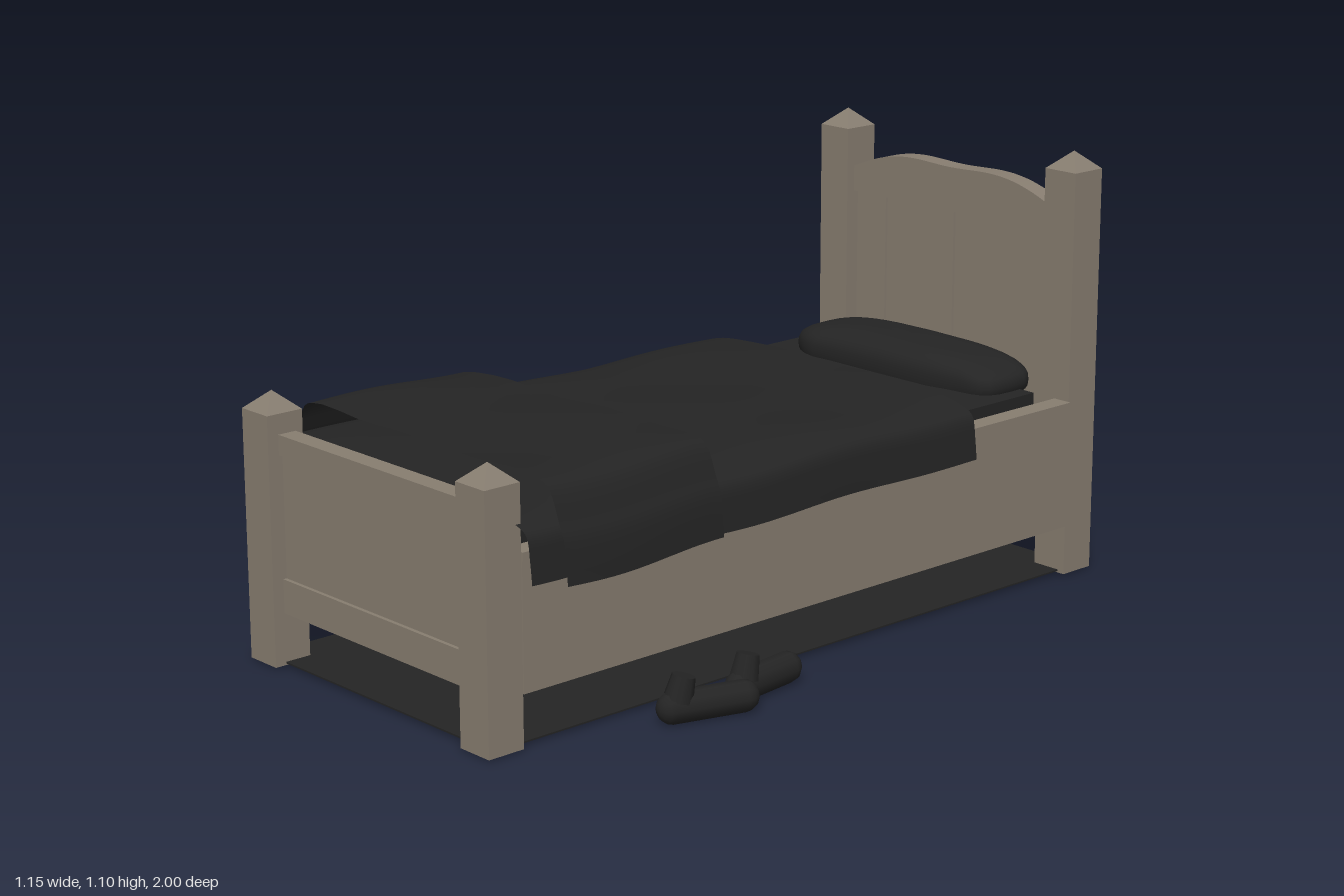
import * as THREE from 'three';

const CX = -0.06; // bed centre line

export function createModel() {
  const root = new THREE.Group();
  root.name = 'bed';
  const wood = new THREE.MeshStandardMaterial({ color: 0x877d70 });
  const cloth = new THREE.MeshStandardMaterial({ color: 0x242424, side: THREE.DoubleSide });

  const add = (name, geo, mat, parent = root) => {
    const mesh = new THREE.Mesh(geo, mat);
    mesh.name = name;
    parent.add(mesh);
    return mesh;
  };
  // box given by its limits on each axis
  const box = (name, mat, x0, x1, y0, y1, z0, z1) => {
    const geo = new THREE.BoxGeometry(x1 - x0, y1 - y0, z1 - z0);
    geo.translate((x0 + x1) / 2, (y0 + y1) / 2, (z0 + z1) / 2);
    return add(name, geo, mat);
  };

  // corner posts with pyramid caps
  for (const s of [-1, 1]) {
    for (const [end, z, top] of [['head', -0.95, 1.06], ['foot', 0.95, 0.63]]) {
      const x = CX + s * 0.4;
      box(end + 'Post', wood, x - 0.05, x + 0.05, 0.01, top, z - 0.05, z + 0.05);
      let cap = new THREE.ConeGeometry(0.0707, 0.045, 4, 1, true).rotateY(Math.PI / 4).toNonIndexed();
      cap.computeVertexNormals();
      cap.translate(x, top + 0.0225, z);
      add(end + 'PostCap', cap, wood);
    }
  }

  // footboard: two rails and a recessed panel
  box('footTopRail', wood, -0.41, 0.29, 0.53, 0.58, 0.92, 0.97);
  box('footPanel', wood, -0.41, 0.29, 0.225, 0.53, 0.93, 0.96);
  box('footBottomRail', wood, -0.41, 0.29, 0.14, 0.225, 0.92, 0.97);

  // headboard: three planks with narrow gaps
  for (const [a, b] of [[-0.41, -0.305], [-0.298, -0.058], [-0.051, 0.29]])
    box('headPlank', wood, a, b, 0.14, 0.9, -0.965, -0.94);

  // curved top rail of the headboard
  const crest = new THREE.Shape();
  crest.moveTo(0.29, 0.89);
  crest.lineTo(0.29, 0.958);
  crest.splineThru([[0.22, 0.985], [0.15, 1.003], [0.07, 1.01], [CX, 1.006], [-0.19, 1.01], [-0.27, 1.003], [-0.34, 0.985], [-0.41, 0.958]]
    .map(p => new THREE.Vector2(...p)));
  crest.lineTo(-0.41, 0.89);
  const crestGeo = new THREE.ExtrudeGeometry(crest, { depth: 0.055, bevelEnabled: false, curveSegments: 24 });
  crestGeo.translate(0, 0, -0.98);
  add('headTopRail', crestGeo, wood);

  // side rails with inner ledges
  for (const s of [-1, 1]) {
    const span = (a, b) => [CX + s * a, CX + s * b].sort((p, q) => p - q);
    box('sideRail', wood, ...span(0.41, 0.453), 0.14, 0.45, -0.9, 0.9);
    box('sideRailCap', wood, ...span(0.402, 0.456), 0.45, 0.47, -0.9, 0.9);
    box('slatLedge', wood, ...span(0.37, 0.41), 0.17, 0.21, -0.9, 0.9);
  }

  // slats
  for (let i = 0; i < 9; i++) {
    const z = -0.8 + i * 0.2;
    box('slat', wood, CX - 0.405, CX + 0.405, 0.21, 0.23, z - 0.09, z + 0.09);
  }

  box('mattress', cloth, CX - 0.402, CX + 0.402, 0.23, 0.5, -0.82, 0.91);

  // dark sheet on the floor under the bed
  box('underside', cloth, CX - 0.43, CX + 0.43, 0.014, 0.018, -0.97, 0.97);

  // draped sheet: half profile mirrored, swept along z with soft ripples
  const drape = (name, half, z0, z1, rows, ripple, seed) => {
    const left = half.map(([x, y]) => new THREE.Vector3(-x, y, 0));
    const right = half.slice(0, -1).reverse().map(([x, y]) => new THREE.Vector3(x, y, 0));
    const curve = new THREE.CatmullRomCurve3([...left, ...right], false, 'centripetal');
    const cols = 40;
    const geo = new THREE.PlaneGeometry(1, 1, cols, rows);
    const pos = geo.attributes.position;
    for (let j = 0, k = 0; j <= rows; j++) {
      for (let i = 0; i <= cols; i++, k++) {
        const p = curve.getPoint(i / cols);
        const v = j / rows, z = z0 + (z1 - z0) * v;
        const w = Math.sin(z * 11 + seed + p.x * 3) * 0.6 + Math.sin(p.x * 17 + z * 5 + seed * 2) * 0.4;
        pos.setXYZ(k, CX + p.x + Math.sin(z * 9 + seed) * 0.003, p.y + w * ripple, z);
      }
    }
    geo.computeVertexNormals();
    add(name, geo, cloth);
  };
  drape('blanket', [[0.503, 0.408], [0.497, 0.46], [0.485, 0.518], [0.445, 0.538], [0.38, 0.552], [0.2, 0.556], [0, 0.556]],
    -0.5, 0.915, 36, 0.006, 0.4);
  drape('foldedThrow', [[0.513, 0.39], [0.502, 0.49], [0.485, 0.53], [0.452, 0.6], [0.41, 0.615], [0.2, 0.62], [0, 0.618]],
    0.35, 0.82, 14, 0.009, 2.1);

  // pillow: squared-off sphere with a rumpled front edge
  const pillow = new THREE.SphereGeometry(1, 32, 20);
  const pp = pillow.attributes.position;
  const puff = (v, e) => Math.sign(v) * Math.pow(Math.abs(v), e);
  for (let i = 0; i < pp.count; i++) {
    const x = puff(pp.getX(i), 0.45), y = puff(pp.getY(i), 0.8), z = puff(pp.getZ(i), 0.6);
    const front = Math.max(z, 0) * Math.sin(x * 7) * 0.012;
    pp.setXYZ(i, CX + x * 0.36, 0.515 + y * (0.07 - 0.012 * x * x), -0.79 + z * 0.125 + front);
  }
  pillow.computeVertexNormals();
  add('pillow', pillow, cloth);

  // pair of slippers on the floor: rounded body and a raised heel
  const slipper = (name, heel, toe) => {
    const g = new THREE.Group();
    g.name = name;
    const dx = toe[0] - heel[0], dz = toe[1] - heel[1], len = Math.hypot(dx, dz);
    const body = new THREE.CapsuleGeometry(0.036, len - 0.072, 4, 10).rotateX(Math.PI / 2);
    body.scale(1, 1.08, 1);
    body.translate(0, 0.043, len / 2);
    add('slipperBody', body, cloth, g);
    const cuff = new THREE.CylinderGeometry(0.028, 0.036, 0.06, 10);
    cuff.rotateX(0.25);
    cuff.translate(0, 0.088, 0.06);
    add('slipperCuff', cuff, cloth, g);
    g.position.set(heel[0], 0, heel[1]);
    g.rotation.y = Math.atan2(dx, dz);
    root.add(g);
  };
  slipper('slipperBack', [0.495, 0.375], [0.465, 0.13]);
  slipper('slipperFront', [0.475, 0.58], [0.55, 0.335]);

  return root;
}
